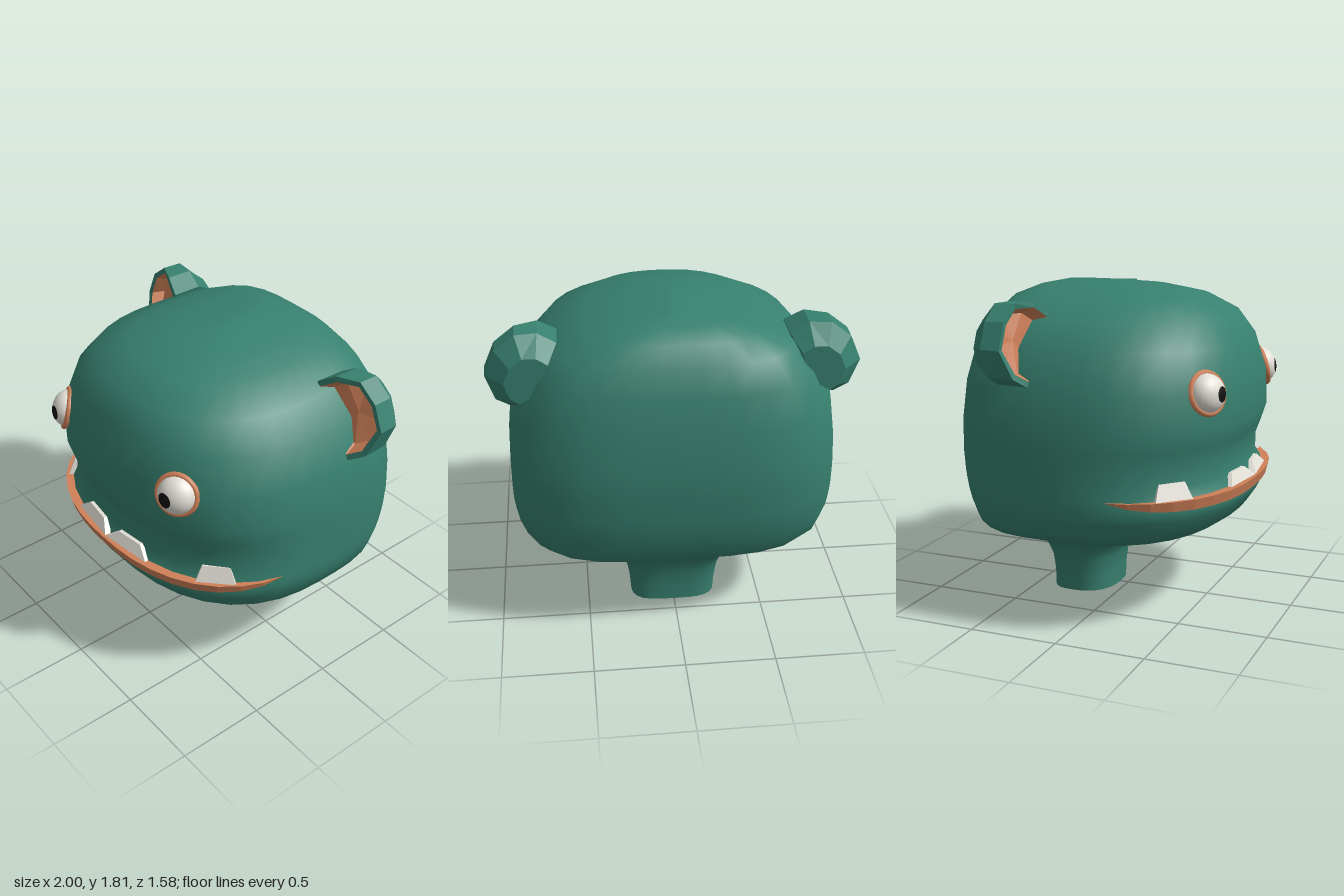
import * as THREE from 'three';

const mat = (color, flat = false, side = THREE.FrontSide) =>
  new THREE.MeshStandardMaterial({ color, flatShading: flat, side });
const GREEN = 0x37806f, ORANGE = 0xcf8058, IVORY = 0xe2dfd6, BLACK = 0x111111;

// Skin a list of equal-length closed loops of [x, y, z], optionally capping the ends
function loft(rings, capStart = false, capEnd = false) {
  const n = rings[0].length, pos = rings.flat(2), idx = [];
  for (let r = 0; r < rings.length - 1; r++)
    for (let i = 0; i < n; i++) {
      const a = r * n + i, b = r * n + (i + 1) % n;
      idx.push(a, b, b + n, a, b + n, a + n);
    }
  const cap = (r, flip) => {
    const c = pos.length / 3;
    for (let k = 0; k < 3; k++) pos.push(rings[r].reduce((s, p) => s + p[k], 0) / n);
    for (let i = 0; i < n; i++) {
      const a = r * n + i, b = r * n + (i + 1) % n;
      idx.push(...(flip ? [b, a, c] : [a, b, c]));
    }
  };
  if (capStart) cap(0, true);
  if (capEnd) cap(rings.length - 1, false);
  const g = new THREE.BufferGeometry();
  g.setAttribute('position', new THREE.Float32BufferAttribute(pos, 3));
  g.setIndex(idx);
  g.computeVertexNormals();
  return g;
}

// Point on a horizontal section: round towards the front, boxy at the back
function sectionPoint(a, y, w, zf, zb) {
  const s = Math.sin(a), c = Math.cos(a), n = c > 0 ? 2.4 : 3.5;
  const r = (Math.abs(s) ** n + Math.abs(c) ** n) ** (-1 / n);
  const cz = zb + 0.47 * (zf - zb);
  return [w * r * s, y, cz + r * c * (c > 0 ? zf - cz : cz - zb)];
}

function add(parent, name, geometry, material) {
  const m = new THREE.Mesh(geometry, material);
  m.name = name;
  parent.add(m);
  return m;
}

// Neck and head: height, half width, front z, back z
const SECTIONS = [
  [0, 0.245, -0.05, -0.41], [0, 0.245, -0.05, -0.41], [0.1, 0.253, -0.047, -0.41],
  [0.2, 0.27, -0.035, -0.42], [0.28, 0.305, 0, -0.45], [0.35, 0.375, 0.09, -0.5],
  [0.395, 0.48, 0.23, -0.55], [0.44, 0.68, 0.45, -0.63], [0.485, 0.8, 0.6, -0.69],
  [0.54, 0.86, 0.68, -0.725], [0.63, 0.895, 0.74, -0.75], [0.69, 0.903, 0.765, -0.765],
  [0.75, 0.905, 0.74, -0.775], [0.8, 0.905, 0.705, -0.78], [0.92, 0.905, 0.705, -0.79],
  [1.0, 0.903, 0.735, -0.79], [1.1, 0.9, 0.768, -0.79], [1.3, 0.875, 0.762, -0.77],
  [1.5, 0.79, 0.705, -0.73], [1.64, 0.67, 0.61, -0.67], [1.735, 0.47, 0.45, -0.6],
  [1.785, 0.27, 0.23, -0.49], [1.81, 0.05, 0, -0.36],
];

function headGeometry() {
  const N = 36;
  return loft(SECTIONS.map(([y, w, zf, zb]) =>
    Array.from({ length: N }, (_, i) => sectionPoint(i / N * Math.PI * 2, y, w, zf, zb))), true, true);
}

// Lower lip: a wedge swept round the front and thinning to the corners
function lipGeometry() {
  const A = 1.24, N = 18, rings = [];
  for (let i = 0; i <= N; i++) {
    const u = i / N * 2 - 1, a = u * A, t = 1 - u ** 6;
    const [x, , z] = sectionPoint(a, 0, 0.9, 0.767, -0.77);
    const at = (k, y) => [x + Math.sin(a) * k, y, z + Math.cos(a) * k];
    rings.push([at(0.024 * t, 0.75), at(0.008 * t, 0.75 - 0.06 * t),
      at(-0.1, 0.75 - 0.06 * t), at(-0.1, 0.75)]);
  }
  return loft(rings, true, true);
}

// Tooth: a box narrowed upwards and leaning inwards, between two base points
function addTooth(parent, name, [x0, z0], [x1, z1], height, taper) {
  const len = Math.hypot(x1 - x0, z1 - z0);
  const g = new THREE.BoxGeometry(len, height, 0.04);
  const p = g.attributes.position;
  for (let i = 0; i < p.count; i++)
    if (p.getY(i) > 0) {
      p.setX(i, p.getX(i) * taper);
      p.setZ(i, p.getZ(i) * 0.5 - 0.025);
    }
  const m = add(parent, name, g, mat(IVORY, true));
  m.position.set((x0 + x1) / 2, 0.748 + height / 2, (z0 + z1) / 2);
  m.rotation.y = Math.atan2(z0 - z1, x1 - x0);
}

// Eye: domed eyeball in a ring, with the pupil looking straight ahead
function addEye(parent) {
  const eye = new THREE.Group();
  eye.name = 'eye';
  const normal = new THREE.Vector3(0.5, 0.26, 0.83).normalize();
  eye.position.set(0.513, 1.29, 0.65);
  eye.quaternion.setFromRotationMatrix(
    new THREE.Matrix4().lookAt(normal, new THREE.Vector3(), new THREE.Vector3(0, 1, 0)));
  const size = new THREE.Vector3(0.104, 0.104, 0.082);
  add(eye, 'eyeball', new THREE.SphereGeometry(1, 24, 16), mat(IVORY)).scale.copy(size);
  add(eye, 'eyeRing', new THREE.TorusGeometry(0.107, 0.017, 8, 24), mat(ORANGE));
  const look = new THREE.Vector3(0, 0, 1).applyQuaternion(eye.quaternion.clone().invert())
    .divide(size).normalize();
  const cap = new THREE.SphereGeometry(1.02, 20, 5, 0, Math.PI * 2, 0, 0.41);
  cap.applyQuaternion(new THREE.Quaternion().setFromUnitVectors(new THREE.Vector3(0, 1, 0), look));
  add(eye, 'pupil', cap, mat(BLACK)).scale.copy(size);
  parent.add(eye);
}

// Ear: faceted cup with a rim and a coloured hollow
function addEar(parent) {
  const rim = [
    [0.61, 1.68, -0.2], [0.71, 1.745, -0.23], [0.83, 1.745, -0.285], [0.94, 1.66, -0.29],
    [1.0, 1.52, -0.29], [0.95, 1.37, -0.24], [0.87, 1.32, -0.2], [0.68, 1.42, -0.2],
  ];
  const shrink = (k, z, cx = 0.78, cy = 1.53) =>
    rim.map(p => [cx + (p[0] - cx) * k, cy + (p[1] - cy) * k, z(p[2])]);
  const inner = shrink(0.86, z => z);
  const ear = new THREE.Group();
  ear.name = 'ear';
  add(ear, 'earShell', loft([inner, rim, shrink(0.98, z => -0.39 + (z + 0.25) * 0.3),
    shrink(0.6, () => -0.495, 0.74, 1.5)], false, true), mat(GREEN, true, THREE.DoubleSide));
  add(ear, 'earHollow', loft([shrink(0.72, z => z - 0.07), inner], true),
    mat(ORANGE, true, THREE.DoubleSide));
  parent.add(ear);
}

export function createModel() {
  const model = new THREE.Group();
  model.name = 'monsterHead';
  add(model, 'headAndNeck', headGeometry(), mat(GREEN));
  add(model, 'lowerLip', lipGeometry(), mat(ORANGE, true));
  // Paired features, mirrored across the middle
  for (const s of [1, -1]) {
    const half = new THREE.Group();
    half.name = s > 0 ? 'leftFeatures' : 'rightFeatures';
    half.scale.x = s;
    addEye(half);
    addEar(half);
    addTooth(half, 'frontTooth', [0, 0.755], [0.32, 0.715], 0.06, 0.52);
    addTooth(half, 'sideTooth', [0.6, 0.605], [0.755, 0.455], 0.088, 0.7);
    model.add(half);
  }
  return model;
}
